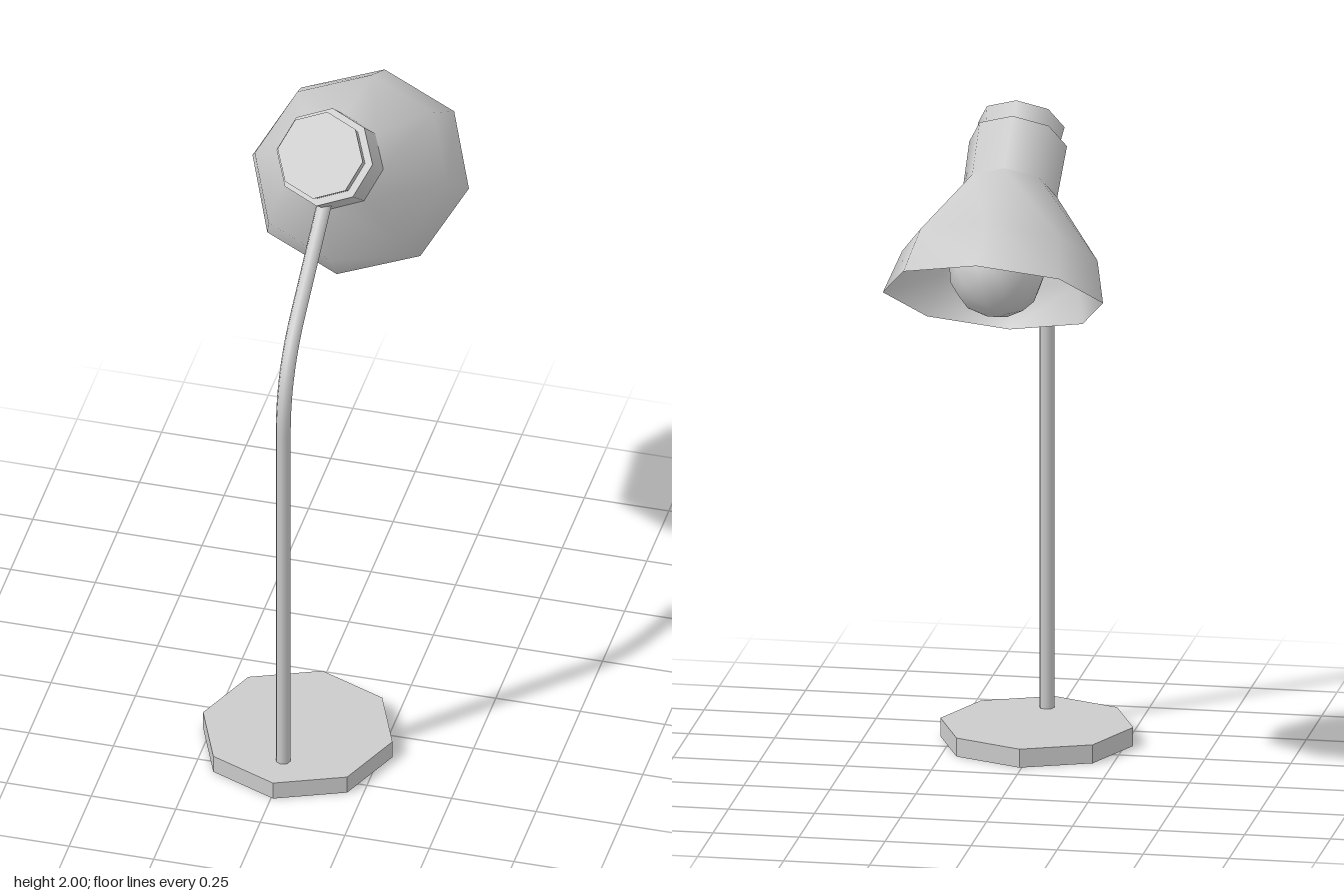
import * as THREE from 'three';
import { mergeVertices } from 'three/addons/utils/BufferGeometryUtils.js';

export function createModel() {
  const lamp = new THREE.Group();
  lamp.name = 'deskLamp';
  const smooth = new THREE.MeshStandardMaterial({ color: 0xcccccc });
  const flat = new THREE.MeshStandardMaterial({ color: 0xcccccc, flatShading: true });
  const thin = new THREE.MeshStandardMaterial({ color: 0xcccccc, side: THREE.DoubleSide });
  const CX = 0.006;

  const add = (parent, name, geometry, material, x = 0, y = 0, z = 0) => {
    const mesh = new THREE.Mesh(geometry, material);
    mesh.name = name;
    mesh.position.set(x, y, z);
    parent.add(mesh);
    return mesh;
  };

  // Octagonal foot
  add(lamp, 'base', new THREE.CylinderGeometry(0.28, 0.28, 0.055, 8), flat, CX, 0.0275, 0.35);

  // Upright post that bends towards the head
  const p = (y, z) => new THREE.Vector3(CX, y, z);
  const path = new THREE.CurvePath();
  path.add(new THREE.LineCurve3(p(0.04, 0.514), p(1.22, 0.514)));
  path.add(new THREE.QuadraticBezierCurve3(p(1.22, 0.514), p(1.42, 0.514), p(1.52, 0.345)));
  path.add(new THREE.LineCurve3(p(1.52, 0.345), p(1.73, 0)));
  add(lamp, 'arm', new THREE.TubeGeometry(path, 48, 0.022, 8), smooth);

  // Head, tilted as one unit; its local +y runs out through the cap
  const head = new THREE.Group();
  head.name = 'head';
  head.position.set(CX, 1.905, 0.097);
  head.rotation.x = THREE.MathUtils.degToRad(50);
  lamp.add(head);

  add(head, 'cap', new THREE.CylinderGeometry(0.126, 0.118, 0.08, 8), smooth, 0, -0.04);
  add(head, 'collar', new THREE.CylinderGeometry(0.142, 0.138, 0.18, 8), smooth, 0, -0.155);

  // Flared shade: each ring leans a little more than the one above it
  const rings = [[0.138, -0.243, 0], [0.284, -0.453, 0.26], [0.32, -0.598, 0.32]];
  let shade = new THREE.LatheGeometry(rings.map(([r, y]) => new THREE.Vector2(r, y)).reverse(), 8);
  const pos = shade.attributes.position;
  for (let i = 0; i < pos.count; i++) {
    const lean = rings[rings.length - 1 - (i % rings.length)][2];
    const z = pos.getZ(i) / Math.hypot(1, lean);
    pos.setZ(i, z);
    pos.setY(i, pos.getY(i) + lean * z);
  }
  shade.deleteAttribute('uv');
  shade.deleteAttribute('normal');
  shade = mergeVertices(shade, 1e-4);
  shade.computeVertexNormals();
  add(head, 'shade', shade, thin);

  // Bulb and its socket
  add(head, 'socket', new THREE.CylinderGeometry(0.06, 0.06, 0.16, 8), smooth, 0, -0.32);
  add(head, 'bulb', new THREE.SphereGeometry(0.14, 10, 8), smooth, 0, -0.5);

  return lamp;
}
